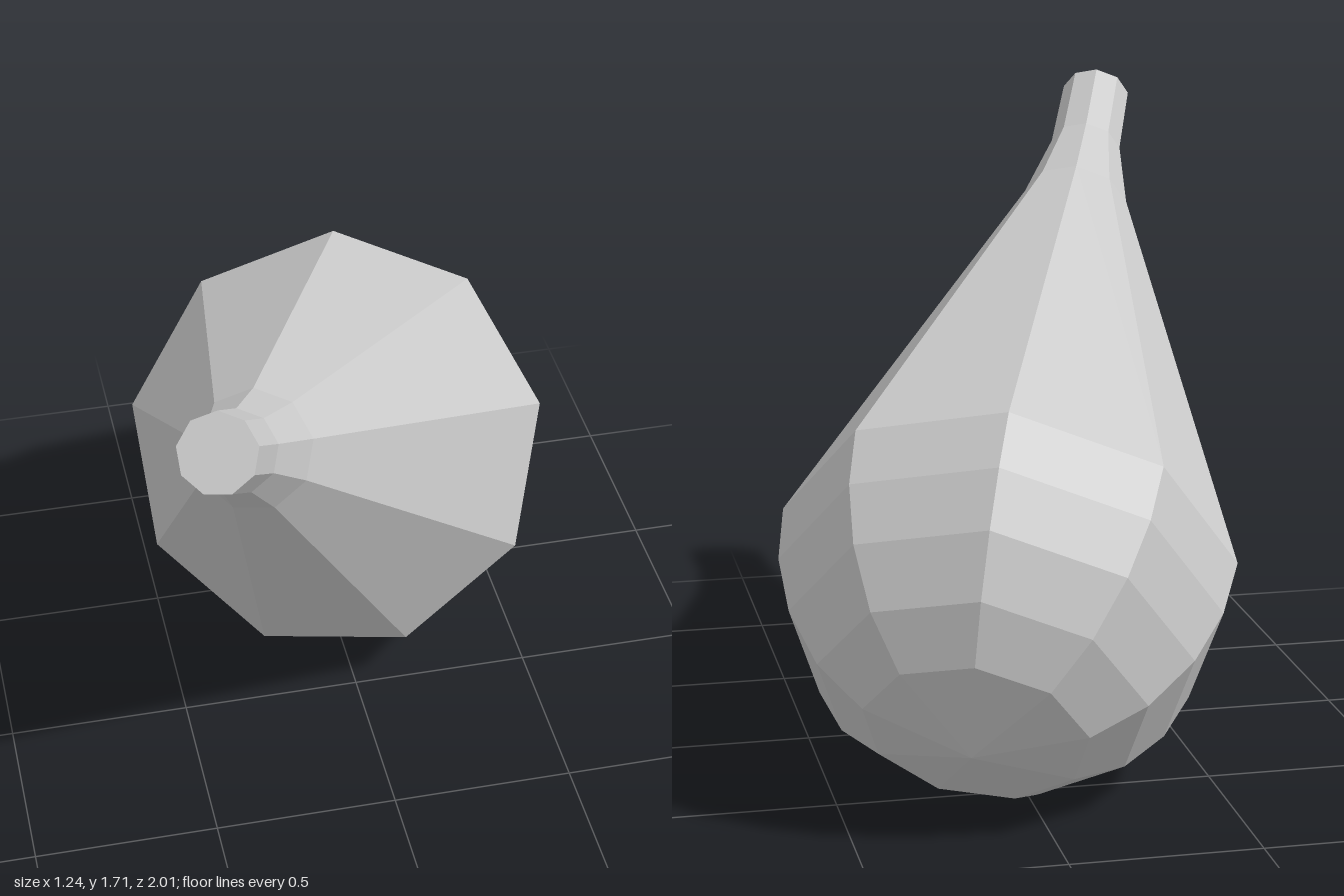
import * as THREE from 'three';

export function createModel() {
  const group = new THREE.Group();

  // Profile [radius, height along the axis]: rounded base, wide belly, slim neck, flat cap
  const profile = [
    [0, -0.62], [0.29, -0.55], [0.425, -0.45], [0.526, -0.31], [0.583, -0.16],
    [0.603, 0], [0.15, 1.31], [0.102, 1.535], [0.098, 1.77], [0, 1.77],
  ].map(([r, h]) => new THREE.Vector2(r, h));

  const body = new THREE.Mesh(
    new THREE.LatheGeometry(profile, 9),
    new THREE.MeshStandardMaterial({ color: 0xcccccc, flatShading: true }),
  );
  body.name = 'teardropBody';

  // Lean the axis forward and to the right, with one corner of the nine-sided ring along +x
  const axis = new THREE.Vector3(-0.312, 0.581, 0.751).normalize();
  const corner = new THREE.Vector3(0.96, 0.207, 0.196);
  corner.addScaledVector(axis, -corner.dot(axis)).normalize();
  const side = new THREE.Vector3().crossVectors(axis, corner);
  body.quaternion.setFromRotationMatrix(new THREE.Matrix4().makeBasis(side, axis, corner));
  body.position.set(0.02, 0.6, -0.38);

  group.add(body);
  return group;
}
